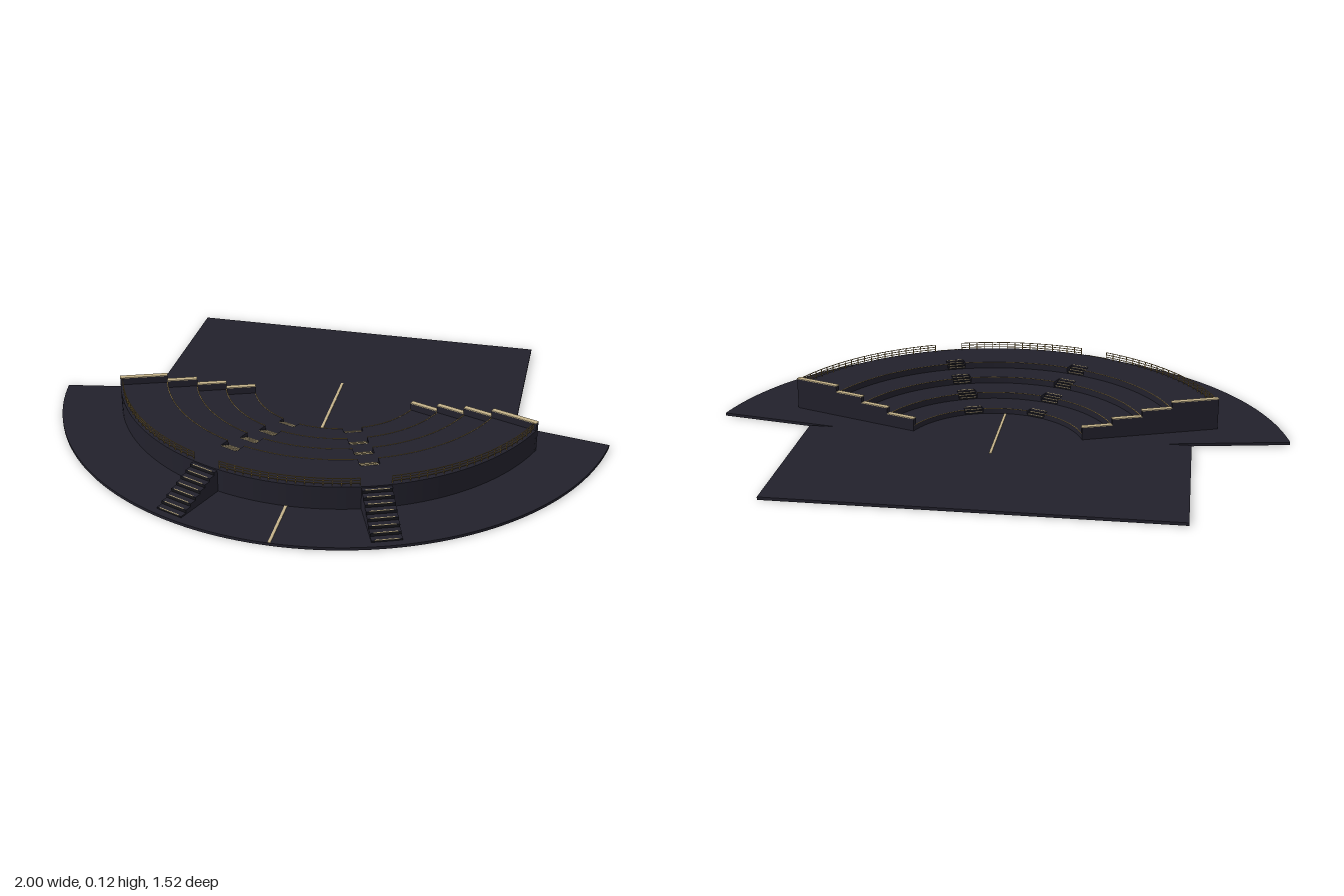
import * as THREE from 'three';

const CZ = -0.256;                       // centre of all the arcs
const D = Math.PI / 180;
const RADII = [0.31, 0.417, 0.523, 0.63, 0.8];
const TREADS = [0.028, 0.05, 0.072, 0.094];
const GROUND = 0.01;
const STAIR = 21 * D;                    // stair aisles, left and right of centre
const END = 70 * D;                      // end of the seating

export function createModel() {
  const root = new THREE.Group();
  const paint = (name, color) => {
    const m = new THREE.MeshStandardMaterial({ color });
    m.name = name;
    return m;
  };
  const stone = paint('dark stone', 0x22212c);
  const riser = paint('black riser', 0x16161b);
  const cream = paint('cream trim', 0xc4b289);
  const gold = paint('gold trim', 0x8c7440);
  const stepSkin = [stone, stone, stone, stone, riser, riser];

  const add = (name, geo, mat, parent = root) => {
    const mesh = new THREE.Mesh(geo, mat);
    mesh.name = name;
    parent.add(mesh);
    return mesh;
  };
  const box = (name, w, h, d, x, y, z, mat, parent) =>
    add(name, new THREE.BoxGeometry(w, h, d), mat, parent).position.set(x, y, z);

  // point on an arc, angle measured from the front
  const polar = (r, a) => [r * Math.sin(a), CZ + r * Math.cos(a)];
  const arc = (r, a0, a1) => {
    const n = Math.max(2, Math.ceil(Math.abs(a1 - a0) / (2 * D)));
    return Array.from({ length: n + 1 }, (_, i) => polar(r, a0 + (a1 - a0) * i / n));
  };
  // plan outline raised from y0 to y1
  const slab = (name, pts, y0, y1, mat, parent) => {
    const shape = new THREE.Shape(pts.map(([x, z]) => new THREE.Vector2(x, -z)));
    const geo = new THREE.ExtrudeGeometry(shape, { depth: y1 - y0, bevelEnabled: false });
    geo.rotateX(-Math.PI / 2).translate(0, y0, 0);
    return add(name, geo, mat, parent);
  };
  const band = (name, r0, r1, a0, a1, y0, y1, mat, parent) =>
    slab(name, [...arc(r1, a0, a1), ...arc(r0, a1, a0)], y0, y1, mat, parent);
  // group whose local +z runs outward along a radius
  const radial = (name, a) => {
    const g = new THREE.Group();
    g.name = name;
    g.position.z = CZ;
    g.rotation.y = a;
    root.add(g);
    return g;
  };

  // ground: fan-shaped apron and rectangular stage
  slab('apron', [[0, CZ], ...arc(1.0154, -80 * D, 80 * D)], 0, GROUND, stone);
  box('stage', 1.334, GROUND, 0.61, 0, GROUND / 2, -0.46, stone);

  // centre lines
  box('stageCentreLine', 0.009, 0.002, 0.37, 0, GROUND + 0.001, -0.135, cream);
  box('apronCentreLine', 0.009, 0.002, 0.216, 0, GROUND + 0.001, 0.65, cream);

  // seating tiers, notched where the aisle steps cut in
  TREADS.forEach((top, k) => {
    const r = RADII[k];
    const below = k ? TREADS[k - 1] : GROUND;
    const count = k ? 3 : 2;
    const run = 0.013;
    const depth = count * run;
    const half = Math.asin(0.034 / r);
    const spans = [[-END, -STAIR - half], [-STAIR + half, STAIR - half], [STAIR + half, END]];
    const halfBack = Math.asin(0.034 / (r + depth));
    const inner = [];
    spans.forEach(([a0, a1], i) => {
      inner.push(...arc(r, a0, a1));
      if (i < 2) {
        const s = i ? STAIR : -STAIR;
        inner.push(polar(r + depth, s - halfBack), polar(r + depth, s + halfBack));
      }
      band('tierEdge', r, r + 0.003, a0, a1, top, top + 0.001, gold);
    });
    slab('tier', [...inner, ...arc(RADII[4], END, -END)], below, top, stone);

    // aisle steps with pale nosings
    for (const s of [-1, 1]) {
      const g = radial('aisleSteps', s * STAIR);
      for (let i = 0; i < count; i++) {
        const h = (top - below) * (i + 1) / (count + 1);
        const z = r + i * run;
        box('aisleStep', 0.068, h, run, 0, below + h / 2, z + run / 2, stepSkin, g);
        box('aisleNosing', 0.06, 0.001, 0.004, 0, below + h + 0.0005, z + 0.002, cream, g);
      }
      box('aisleNosing', 0.06, 0.001, 0.004, 0, top + 0.0005, r + depth + 0.002, cream, g);
    }

    // stepped end walls with pale caps
    for (const s of [-1, 1]) {
      const g = radial('endWall', s * END);
      const len = RADII[k + 1] - r;
      const h = top + 0.026;
      box('endWallBody', 0.016, h, len, 0, h / 2, r + len / 2, stone, g);
      box('endWallCap', 0.019, 0.003, len, 0, h + 0.0015, r + len / 2, cream, g);
    }
  });

  // outer stairs down to the apron
  const STEPS = 8;
  for (const s of [-1, 1]) {
    const g = radial('outerStair', s * STAIR);
    const run = 0.2 / STEPS;
    for (let i = 0; i < STEPS; i++) {
      const top = TREADS[3] - (TREADS[3] - GROUND) * (i + 0.5) / STEPS;
      const z = 0.79 + i * run;
      box('outerStep', 0.1, top, run, 0, top / 2, z + run / 2, stepSkin, g);
      box('outerNosing', 0.078, 0.001, 0.004, 0, top + 0.0005, z + run - 0.002, cream, g);
    }
  }

  // railing around the top tier, open at the outer stairs
  const railing = new THREE.Group();
  railing.name = 'railing';
  root.add(railing);
  const gap = 3.8 * D;
  const top = TREADS[3];
  for (const [a0, a1] of [[-END, -STAIR - gap], [-STAIR + gap, STAIR - gap], [STAIR + gap, END]]) {
    for (const y of [0.104, 0.113, 0.122])
      band('rail', 0.79, 0.7925, a0, a1, y - 0.002, y, gold, railing);
    const n = Math.round((a1 - a0) / (2.2 * D));
    for (let i = 0; i <= n; i++) {
      const a = a0 + (a1 - a0) * i / n;
      const [x, z] = polar(0.79125, a);
      const post = add('railPost', new THREE.BoxGeometry(0.0025, 0.028, 0.0025), gold, railing);
      post.position.set(x, top + 0.014, z);
      post.rotation.y = a;
    }
  }
  return root;
}
